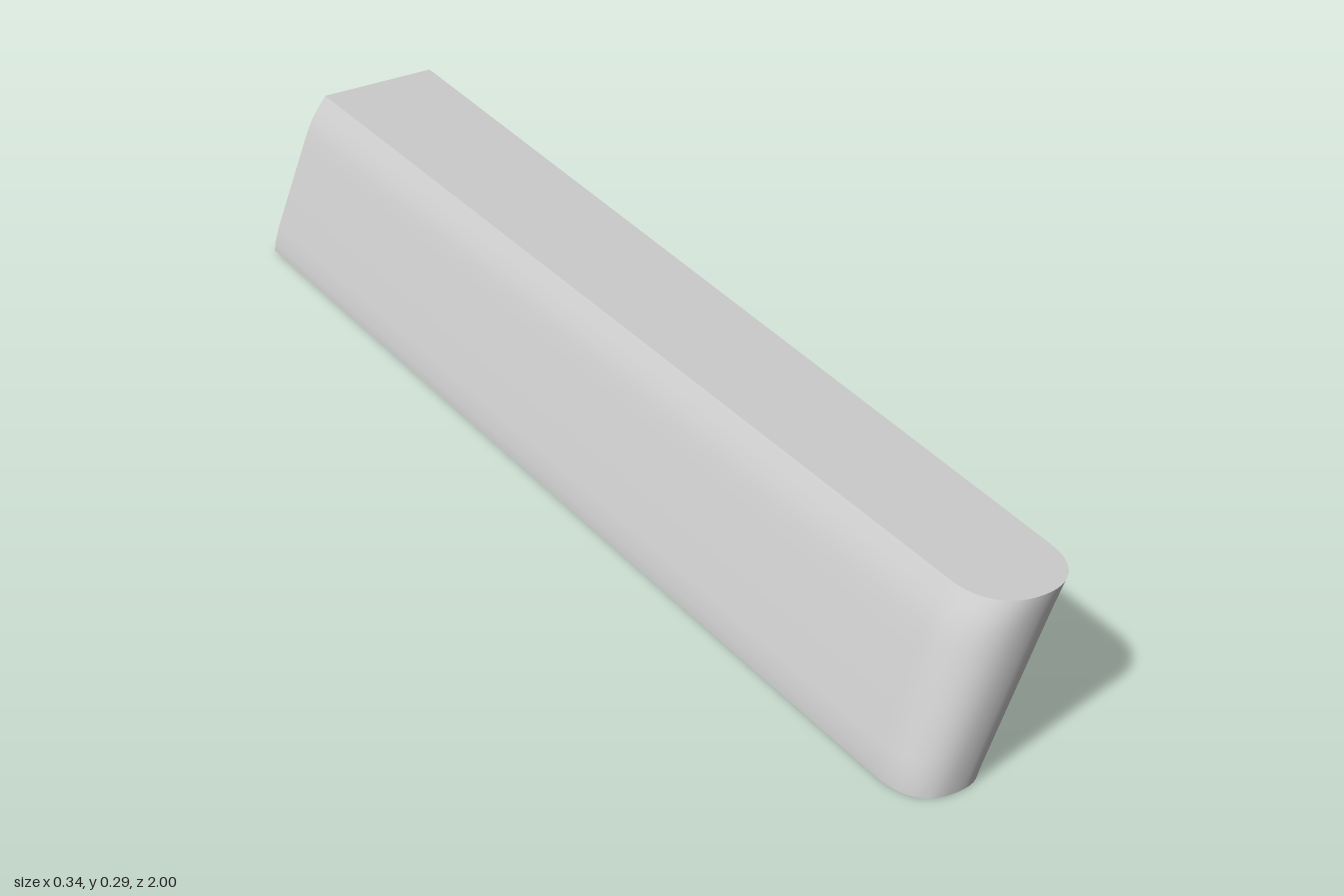
import * as THREE from 'three';
import { toCreasedNormals } from 'three/addons/utils/BufferGeometryUtils.js';

// Cross-section levels: height, left edge x, right edge x at the front, right edge x at the back
const LEVELS = [
  [0, -0.172, -0.022, 0.01],
  [0.018, -0.17, -0.013, 0.025],
  [0.05, -0.16, 0.004, 0.042],
  [0.2, -0.101, 0.081, 0.122],
  [0.225, -0.091, 0.094, 0.136],
  [0.25, -0.079, 0.107, 0.149],
  [0.27, -0.065, 0.117, 0.16],
  [0.289, -0.05, 0.127, 0.17],
];
const ARC_STEPS = 24;
const NOSE_DEPTH = 0.1;

// Plan outline of one level: square back end, rounded nose at the front
function outline([y, left, rightFront, rightBack]) {
  const points = [[left, y, -1]];
  const mid = (left + rightFront) / 2;
  const half = (rightFront - left) / 2;
  const power = 2 / (2.5 - y);
  for (let i = 0; i <= ARC_STEPS; i++) {
    const a = Math.PI * (1 - i / ARC_STEPS);
    const c = Math.cos(a);
    const s = Math.max(0, Math.sin(a));
    points.push([
      mid + half * Math.sign(c) * Math.abs(c) ** power,
      y,
      1 - NOSE_DEPTH + NOSE_DEPTH * s ** power,
    ]);
  }
  points.push([rightBack, y, -1]);
  return points;
}

function createBarGeometry() {
  const rings = LEVELS.map(outline);
  const n = rings[0].length;
  const index = [];
  // Walls between neighbouring levels
  for (let k = 0; k < rings.length - 1; k++) {
    for (let i = 0; i < n; i++) {
      const j = (i + 1) % n;
      const a = k * n + i, b = k * n + j;
      index.push(a, b, b + n, a, b + n, a + n);
    }
  }
  // Flat bottom and top
  const top = (rings.length - 1) * n;
  for (let i = 1; i < n - 1; i++) {
    index.push(0, i + 1, i);
    index.push(top, top + i, top + i + 1);
  }
  const geometry = new THREE.BufferGeometry();
  geometry.setAttribute('position', new THREE.Float32BufferAttribute(rings.flat(2), 3));
  geometry.setIndex(index);
  return toCreasedNormals(geometry, 0.6);
}

export function createModel() {
  const group = new THREE.Group();
  group.name = 'slantedBar';
  const bar = new THREE.Mesh(createBarGeometry(), new THREE.MeshStandardMaterial({ color: 0xcccccc }));
  bar.name = 'barBody';
  group.add(bar);
  return group;
}
